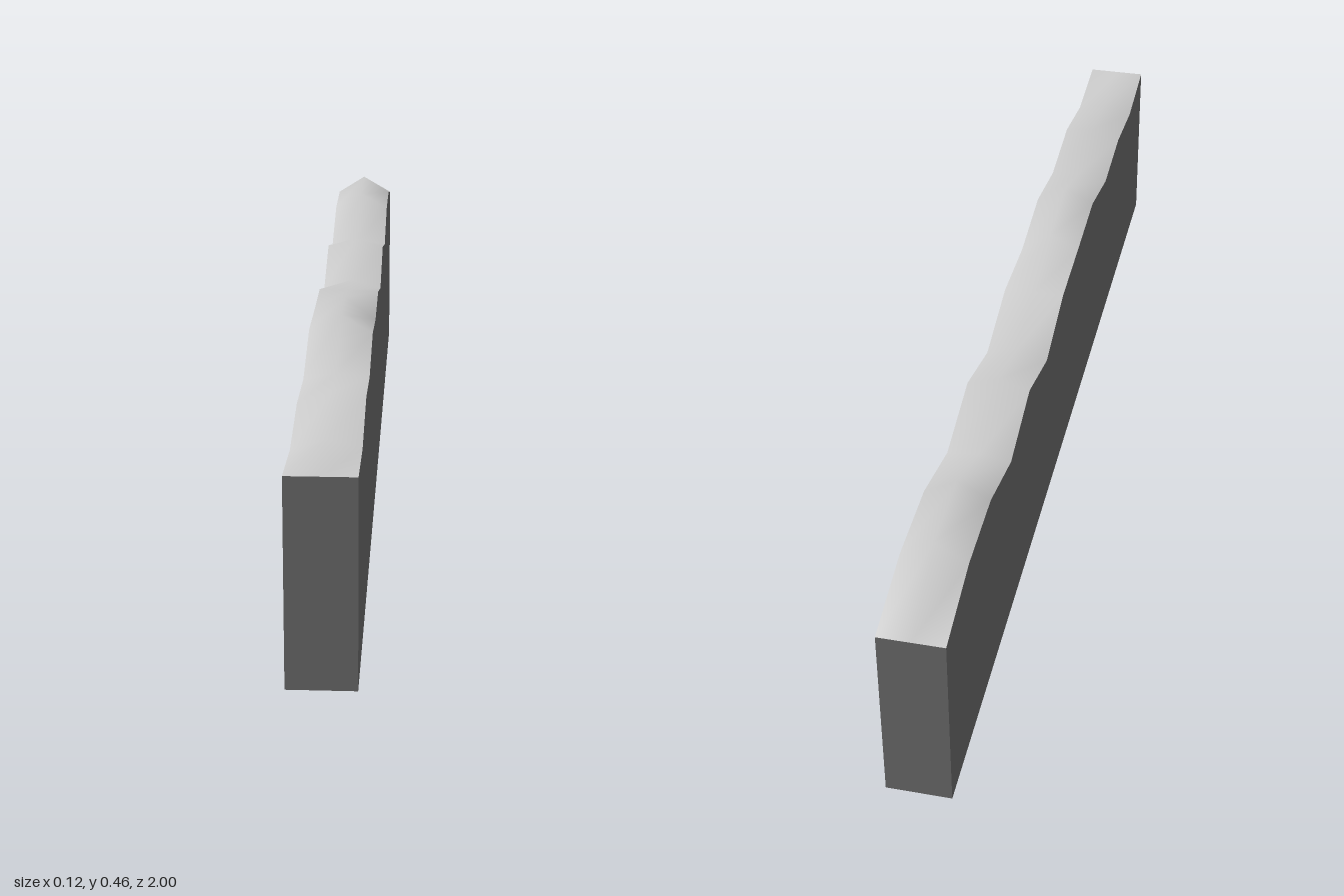
import * as THREE from 'three';

// Crest heights from the front end (z = 1) to the back end (z = -1)
const LEFT = [0.383, 0.368, 0.402, 0.383, 0.416, 0.392, 0.402, 0.362, 0.412, 0.373, 0.421, 0.421, 0.383];
const RIDGE = [0.383, 0.385, 0.41, 0.39, 0.452, 0.438, 0.405, 0.38, 0.43, 0.38, 0.455, 0.46, 0.383];
const RIGHT = [0.383, 0.364, 0.388, 0.377, 0.421, 0.412, 0.406, 0.361, 0.413, 0.372, 0.421, 0.421, 0.383];

const WIDTH = 0.123, LENGTH = 2, STEPS = 12;

export function createModel() {
  const group = new THREE.Group();
  group.name = 'ridgedWall';

  // Long block, two segments wide so its top can rise to a central ridge
  const geometry = new THREE.BoxGeometry(WIDTH, 1, LENGTH, 2, 1, STEPS);
  const pos = geometry.attributes.position;
  for (let i = 0; i < pos.count; i++) {
    const x = pos.getX(i);
    const step = Math.round((1 - pos.getZ(i)) * STEPS / LENGTH);
    const crest = Math.abs(x) < 0.01 ? RIDGE : x > 0 ? LEFT : RIGHT;
    pos.setY(i, pos.getY(i) > 0 ? crest[step] : 0);
  }
  // Each box side has its own vertices: smooth crest, sharp rims
  geometry.computeVertexNormals();

  // Box sides in order: +x, -x, top, bottom, front, back
  const stone = new THREE.MeshStandardMaterial({ color: 0x696969 });
  const crestStone = new THREE.MeshStandardMaterial({ color: 0xcccccc });
  const wall = new THREE.Mesh(geometry, [stone, stone, crestStone, stone, stone, stone]);
  wall.name = 'wallWithWavyCrest';
  group.add(wall);
  return group;
}
